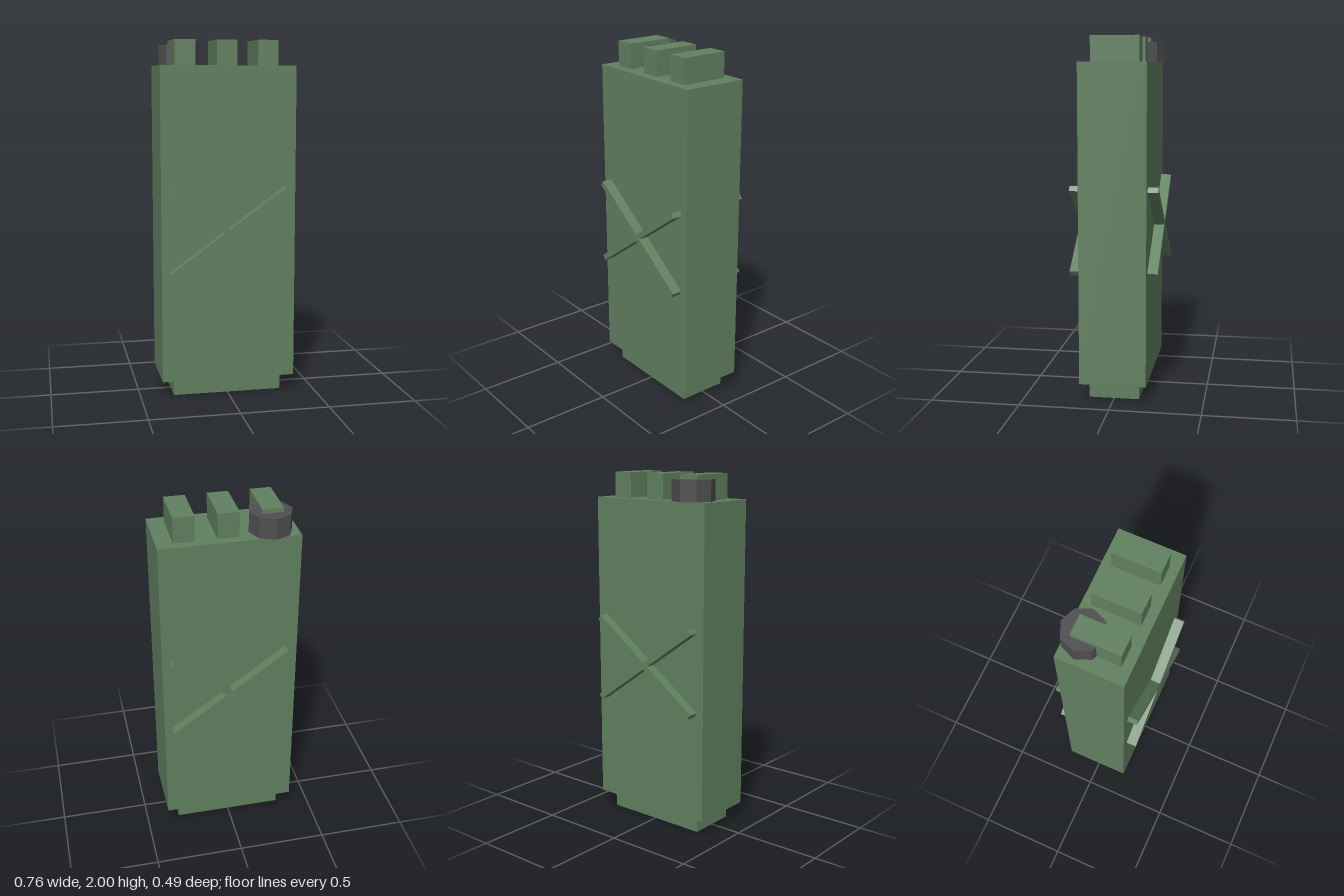
import * as THREE from 'three';

export function createModel() {
  const green = new THREE.MeshStandardMaterial({ name: 'army green', color: 0x608060, flatShading: true });
  const grey = new THREE.MeshStandardMaterial({ name: 'dark grey', color: 0x4e4e51, flatShading: true });
  const model = new THREE.Group();
  model.name = 'fuelCan';

  const add = (name, geometry, material, x, y, z) => {
    const mesh = new THREE.Mesh(geometry, material);
    mesh.name = name;
    mesh.position.set(x, y, z);
    model.add(mesh);
    return mesh;
  };

  // Can body and its narrower foot
  add('body', new THREE.BoxGeometry(0.76, 1.765, 0.372), green, 0, 0.9775, 0);
  add('foot', new THREE.BoxGeometry(0.62, 0.095, 0.28), green, 0, 0.0475, 0);

  // Three parallel carrying handles
  for (const x of [-0.234, -0.001, 0.232]) {
    add('handle', new THREE.BoxGeometry(0.115, 0.14, 0.268), green, x, 1.93, -0.001);
  }

  // Eight-sided filler cap at the back
  add('cap', new THREE.CylinderGeometry(0.117, 0.117, 0.115, 8), grey, -0.234, 1.9175, -0.092);

  // Raised diagonal ribs crossing on the front and back
  for (const side of [1, -1]) {
    for (const tilt of [1, -1]) {
      const rib = add('crossRib', new THREE.BoxGeometry(0.808, 0.033, 0.06), green, 0, 0.945, side * 0.214);
      rib.rotation.z = tilt * 0.623;
    }
  }
  return model;
}
